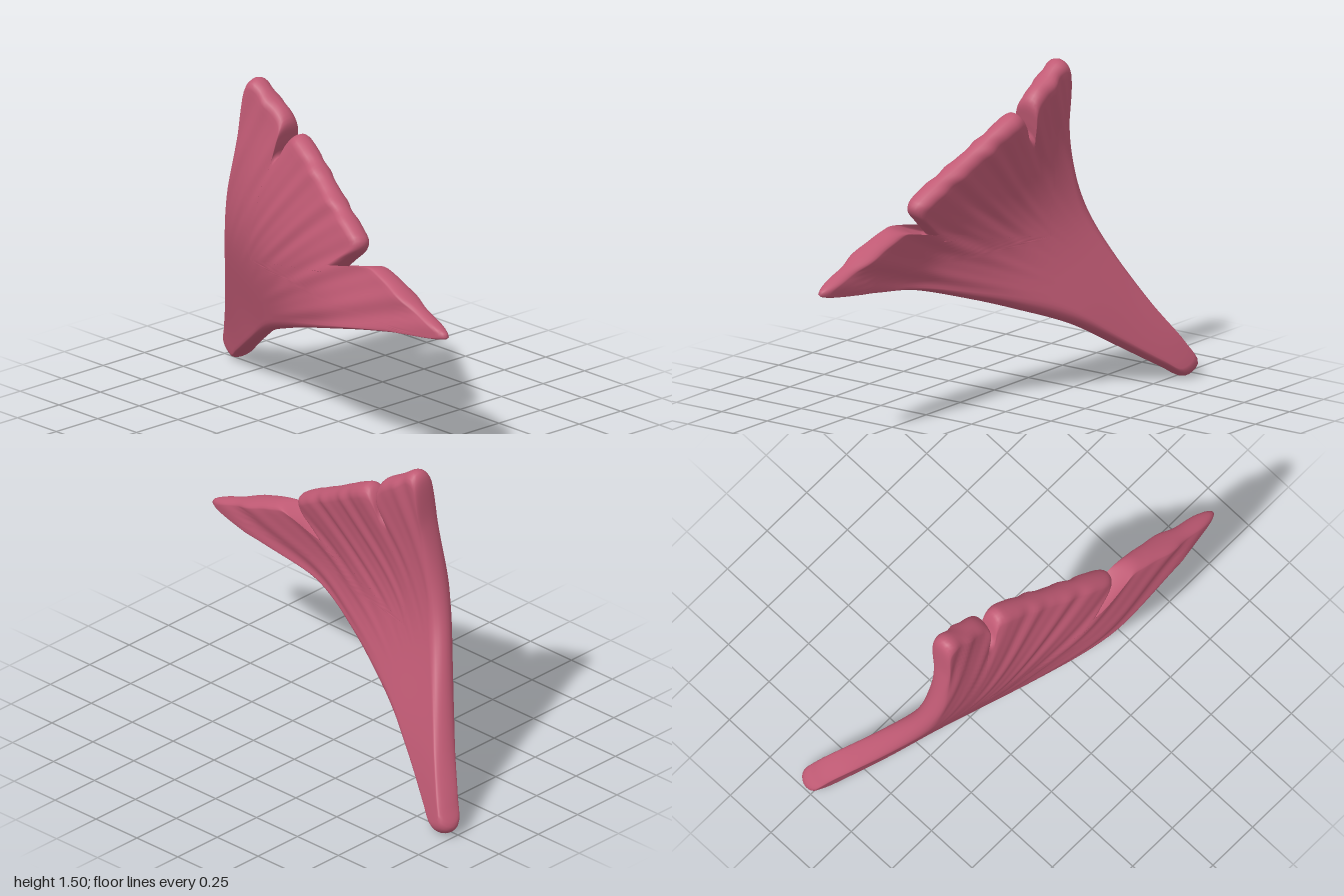
import * as THREE from 'three';

// Silhouette of the fin in the side plane, as [z, y], from the front tip over the top
const outline = [
  [1.0, 0.715], [0.8, 0.81], [0.6, 0.89], [0.52, 0.91], [0.44, 0.892], [0.34, 0.85], [0.245, 0.818],
  [0.32, 0.89], [0.395, 0.96], [0.4, 0.995], [0.36, 1.03], [0.12, 1.17], [-0.11, 1.305], [-0.16, 1.322],
  [-0.195, 1.29], [-0.23, 1.22], [-0.268, 1.195], [-0.252, 1.27], [-0.24, 1.35], [-0.27, 1.395], [-0.36, 1.45],
  [-0.45, 1.505], [-0.485, 1.49], [-0.52, 1.25], [-0.59, 0.95], [-0.69, 0.65], [-0.84, 0.33],
  [-0.96, 0.13], [-0.998, 0.045], [-0.93, 0.003], [-0.85, 0.05], [-0.65, 0.18], [-0.45, 0.305],
  [-0.2, 0.41], [0, 0.485], [0.35, 0.595], [0.7, 0.665],
];

// Sideways bend of the mid surface: [z, y, x]
const bend = [
  [1, 0.715, -0.275], [0.7, 0.67, -0.275], [0.35, 0.6, -0.28], [0.02, 0.5, -0.18], [-0.25, 0.4, -0.06],
  [-0.46, 0.3, 0.04], [-0.65, 0.18, 0.13], [-0.8, 0.08, 0.21], [-0.97, 0.03, 0.29], [-0.92, 0.17, 0.24],
  [-0.8, 0.4, 0.12], [-0.71, 0.6, 0.025], [-0.64, 0.8, -0.05], [-0.58, 1, -0.08], [-0.53, 1.2, -0.08],
  [-0.47, 1.5, -0.055], [-0.26, 1.36, -0.06], [-0.17, 1.32, -0.07], [0.12, 1.17, -0.14], [0.4, 0.98, -0.215],
  [0.52, 0.9, -0.23], [-0.25, 0.75, -0.14], [0.02, 0.75, -0.195], [0.2, 0.73, -0.245],
];

// Smooth surface through the bend points (thin plate spline)
function fitSurface(points) {
  const n = points.length, m = n + 3;
  const kernel = (dz, dy) => { const q = dz * dz + dy * dy; return q < 1e-12 ? 0 : 0.5 * q * Math.log(q); };
  const basis = (z, y) => [...points.map(p => kernel(z - p[0], y - p[1])), 1, z, y];
  const rows = points.map((p, i) => {
    const row = [...basis(p[0], p[1]), p[2]];
    row[i] += 0.003;
    return row;
  });
  for (let k = 0; k < 3; k++) {
    rows.push([...points.map(p => [1, p[0], p[1]][k]), 0, 0, 0, 0]);
  }
  for (let c = 0; c < m; c++) {
    let best = c;
    for (let r = c + 1; r < m; r++) if (Math.abs(rows[r][c]) > Math.abs(rows[best][c])) best = r;
    [rows[c], rows[best]] = [rows[best], rows[c]];
    for (let r = 0; r < m; r++) {
      if (r === c) continue;
      const f = rows[r][c] / rows[c][c];
      for (let k = c; k <= m; k++) rows[r][k] -= f * rows[c][k];
    }
  }
  const weights = rows.map((row, i) => row[m] / row[i]);
  return (z, y) => basis(z, y).reduce((sum, b, i) => sum + b * weights[i], 0);
}

// Shallow rays fanning out from the root towards the ragged margin
function ripple(z, y) {
  const dz = z + 0.85, dy = y - 0.25;
  const reach = THREE.MathUtils.smoothstep(Math.hypot(dz, dy), 0.5, 1.2);
  const angle = Math.atan2(dy, dz);
  return 0.004 * reach * (Math.sin(angle * 55) + 0.6 * Math.sin(angle * 91 + 1));
}

function finGeometry() {
  const surface = fitSurface(bend);
  const curve = new THREE.CatmullRomCurve3(outline.map(([z, y]) => new THREE.Vector3(0, y, z)), true, 'centripetal');
  const sides = 320;
  curve.arcLengthDivisions = 1200;
  const rim = curve.getSpacedPoints(sides).slice(0, sides);
  const cz = -0.4, cy = 0.7, bevel = 0.05;

  // Rows run from the centre of the left face, round the edge, to the centre of the right face
  const rows = [];
  for (let k = 0; k < 22; k++) rows.push({ t: k / 22, round: 0, side: 1 });
  for (let k = 0; k <= 10; k++) {
    const a = Math.PI * (0.5 - k / 10);
    rows.push({ t: 1, round: Math.cos(a), side: Math.sin(a) });
  }
  for (let k = 21; k >= 0; k--) rows.push({ t: k / 22, round: 0, side: -1 });

  const position = [], index = [], e = 0.01;
  rows.forEach(({ t, round, side }, j) => {
    rim.forEach((p, i) => {
      const dz = p.z - cz, dy = p.y - cy, length = Math.hypot(dz, dy);
      const r = ((length - bevel) * t + bevel * round) / length;
      const z = cz + dz * r, y = cy + dy * r;
      const normal = new THREE.Vector3(1,
        -(surface(z, y + e) - surface(z, y - e)) / (2 * e),
        -(surface(z + e, y) - surface(z - e, y)) / (2 * e)).normalize();
      const half = Math.min(0.055, 0.022 + (1 - z) * 0.13) + ripple(z, y);
      const v = new THREE.Vector3(surface(z, y), y, z).addScaledVector(normal, half * side);
      position.push(v.x, Math.max(0, v.y), v.z);
      if (j + 1 < rows.length) {
        const a = j * sides + i, b = j * sides + (i + 1) % sides;
        index.push(a, b, a + sides, b, b + sides, a + sides);
      }
    });
  });
  const geometry = new THREE.BufferGeometry();
  geometry.setAttribute('position', new THREE.Float32BufferAttribute(position, 3));
  geometry.setIndex(index);
  geometry.computeVertexNormals();
  return geometry;
}

export function createModel() {
  const group = new THREE.Group();
  group.name = 'fin';
  const rose = new THREE.MeshStandardMaterial({ color: 0xc05a74 });
  rose.name = 'rose';
  const membrane = new THREE.Mesh(finGeometry(), rose);
  membrane.name = 'finMembrane';
  group.add(membrane);
  return group;
}
